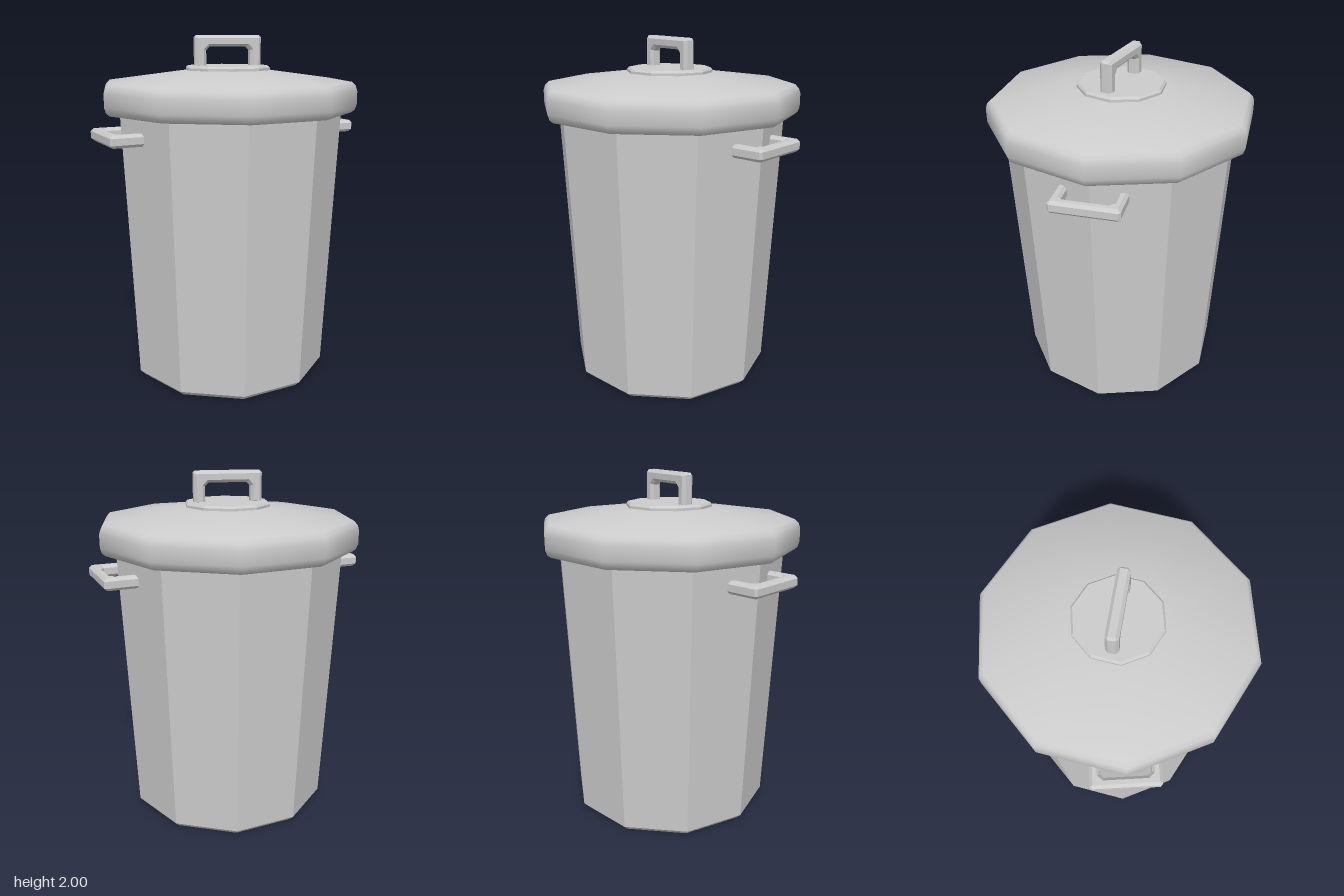
import * as THREE from 'three';
import { toCreasedNormals } from 'three/addons/utils/BufferGeometryUtils.js';

const SIDES = 10;

// Ten-sided turned solid with a corner on the x axis
function turned(profile) {
  const points = profile.map(([r, y]) => new THREE.Vector2(r, y));
  return new THREE.LatheGeometry(points, SIDES, Math.PI / 2);
}

// Bevelled U-shaped handle, feet on y = 0, centred in z
function handleGeometry(halfWidth, height, bar, depth, bevel) {
  const c = 0.012, k = 0.02;
  const inner = halfWidth - bar, under = height - bar;
  const half = [
    [inner, 0], [halfWidth, 0], [halfWidth, height - c], [halfWidth - c, height],
  ];
  const innerHalf = [[inner - k, under], [inner, under - k]];
  const mirror = (pts) => pts.map(([x, y]) => [-x, y]).reverse();
  const outline = [...half, ...mirror(half), ...mirror(innerHalf), ...innerHalf];
  const shape = new THREE.Shape(outline.map(([x, y]) => new THREE.Vector2(x, y)));
  const geometry = new THREE.ExtrudeGeometry(shape, {
    depth: depth - 2 * bevel, bevelEnabled: true, bevelSegments: 1,
    bevelSize: bevel, bevelThickness: bevel, bevelOffset: -bevel,
  });
  return geometry.translate(0, 0, bevel - depth / 2);
}

export function createModel() {
  const model = new THREE.Group();
  model.name = 'dustbin';
  const smooth = new THREE.MeshStandardMaterial({ color: 0xcccccc });
  const flat = new THREE.MeshStandardMaterial({ color: 0xcccccc, flatShading: true });

  const add = (name, geometry, material) => {
    const mesh = new THREE.Mesh(geometry, material);
    mesh.name = name;
    model.add(mesh);
    return mesh;
  };

  // Tapered body with a chamfered foot
  add('body', turned([[0, 0], [0.56, 0], [0.59, 0.03], [0.662, 1.6], [0, 1.6]]), flat);

  // Shallow conical lid with a rounded rim
  const lid = turned([
    [0, 1.575], [0.72, 1.57], [0.738, 1.585], [0.748, 1.615],
    [0.748, 1.69], [0.738, 1.72], [0.715, 1.742], [0.24, 1.805], [0, 1.825],
  ]);
  add('lid', toCreasedNormals(lid, 0.9), smooth);

  // Plate under the lid handle
  add('lidPlate', turned([[0, 1.79], [0.247, 1.79], [0.247, 1.818], [0.236, 1.83], [0, 1.83]]), flat);

  // Lid handle, turned slightly off the x axis
  const lidHandle = add('lidHandle', handleGeometry(0.195, 0.185, 0.065, 0.07, 0.016), flat);
  lidHandle.position.y = 1.815;
  lidHandle.rotation.y = -0.22;

  // Carrying handles on both sides, lying flat and pointing outwards
  const sideGeometry = handleGeometry(0.187, 0.2, 0.055, 0.07, 0.016).rotateX(Math.PI / 2);
  for (const [name, side] of [['leftHandle', 1], ['rightHandle', -1]]) {
    const handle = add(name, sideGeometry, flat);
    handle.position.set(side * 0.578, 1.455, 0);
    handle.rotation.y = side * Math.PI / 2;
  }

  return model;
}
